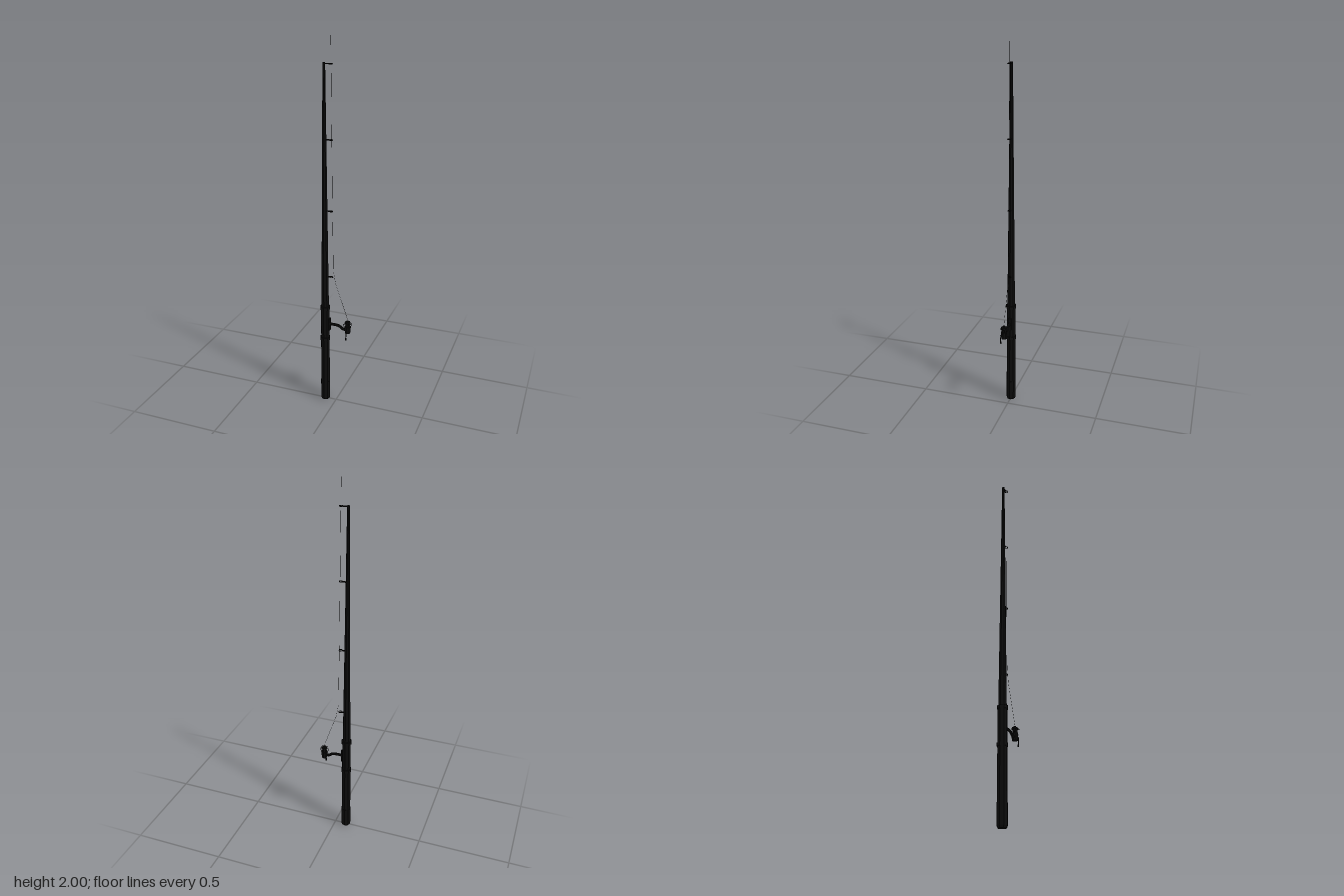
import * as THREE from 'three';

const ROD_X = -0.063, REEL_X = 0.066;
const mat = new THREE.MeshStandardMaterial({ color: 0x0c0c0c, flatShading: true });

export function createModel() {
  const model = new THREE.Group();
  model.name = 'fishingRod';

  const add = (name, geometry, x = 0, y = 0, z = 0, parent = model) => {
    const mesh = new THREE.Mesh(geometry, mat);
    mesh.name = name;
    mesh.position.set(x, y, z);
    parent.add(mesh);
    return mesh;
  };
  // Eight-sided upright section between two heights
  const section = (name, x, y0, y1, r0, r1 = r0, z = 0, parent = model) =>
    add(name, new THREE.CylinderGeometry(r1, r0, y1 - y0, 8), x, (y0 + y1) / 2, z, parent);
  // Wire or rod along straight pieces or a smooth curve
  const wire = (name, points, radius, sides = 5, smooth = false, parent = model) => {
    const v = points.map(p => new THREE.Vector3(...p));
    if (smooth) {
      return add(name, new THREE.TubeGeometry(new THREE.CatmullRomCurve3(v), 12, radius, sides), 0, 0, 0, parent);
    }
    const path = new THREE.CurvePath();
    for (let i = 1; i < v.length; i++) path.add(new THREE.LineCurve3(v[i - 1], v[i]));
    return add(name, new THREE.TubeGeometry(path, (v.length - 1) * 4, radius, sides), 0, 0, 0, parent);
  };

  // Handle and tapering blank
  section('buttCapEdge', ROD_X, 0.004, 0.016, 0.022, 0.027);
  section('buttCap', ROD_X, 0.016, 0.12, 0.027);
  section('rearGrip', ROD_X, 0.12, 0.385, 0.0255, 0.025);
  section('reelSeat', ROD_X, 0.385, 0.58, 0.0245, 0.024);
  for (const y of [0.39, 0.575]) section('seatRing', ROD_X, y - 0.008, y + 0.008, 0.0285);
  section('blank', ROD_X, 0.58, 1.873, 0.0215, 0.007);

  // Line guides, each a ring on a short leg
  for (const y of [0.76, 1.128, 1.5, 1.868]) {
    const guide = new THREE.Group();
    guide.name = 'lineGuide';
    guide.position.y = y;
    model.add(guide);
    const ring = add('guideRing', new THREE.TorusGeometry(0.0085, 0.0022, 5, 10), -0.027, 0, 0, guide);
    ring.rotation.x = Math.PI / 2;
    add('guideLeg', new THREE.BoxGeometry(0.028, 0.005, 0.006), -0.049, 0, 0, guide);
  }

  // Reel: curved foot, body, spool, bail and crank
  const reel = new THREE.Group();
  reel.name = 'reel';
  model.add(reel);
  add('reelFoot', new THREE.BoxGeometry(0.008, 0.07, 0.016), -0.037, 0.478, 0, reel);
  wire('reelArm', [[-0.042, 0.48, 0], [0, 0.48, 0], [0.02, 0.476, 0], [0.038, 0.463, 0], [0.062, 0.46, 0]],
    0.0075, 6, true, reel);
  section('reelBody', REEL_X, 0.443, 0.475, 0.015, 0.018, 0, reel);
  section('spoolCore', REEL_X, 0.475, 0.503, 0.013, 0.013, 0, reel);
  section('spoolFlange', REEL_X, 0.475, 0.482, 0.017, 0.017, 0, reel);
  section('spoolLip', REEL_X, 0.5, 0.51, 0.017, 0.015, 0, reel);
  section('dragKnob', REEL_X, 0.51, 0.517, 0.007, 0.006, 0, reel);
  wire('bail', [[0.048, 0.476, 0.004], [0.047, 0.503, 0.017], [0.085, 0.503, 0.017],
    [0.086, 0.503, -0.009], [0.082, 0.476, -0.004]], 0.0012, 5, false, reel);
  wire('crank', [[REEL_X, 0.458, 0.01], [REEL_X, 0.458, 0.021], [0.063, 0.415, 0.021]], 0.0025, 5, false, reel);
  section('crankKnob', 0.063, 0.408, 0.42, 0.0035, 0.0035, 0.019, reel);

  // Line from spool through the guides and beyond the tip
  wire('line', [[REEL_X + 0.005, 0.51, 0], [-0.015, 0.76, 0], [-0.02, 1.128, 0], [-0.023, 1.5, 0],
    [-0.026, 1.868, 0], [-0.027, 2, 0]], 0.0006, 4);

  return model;
}
